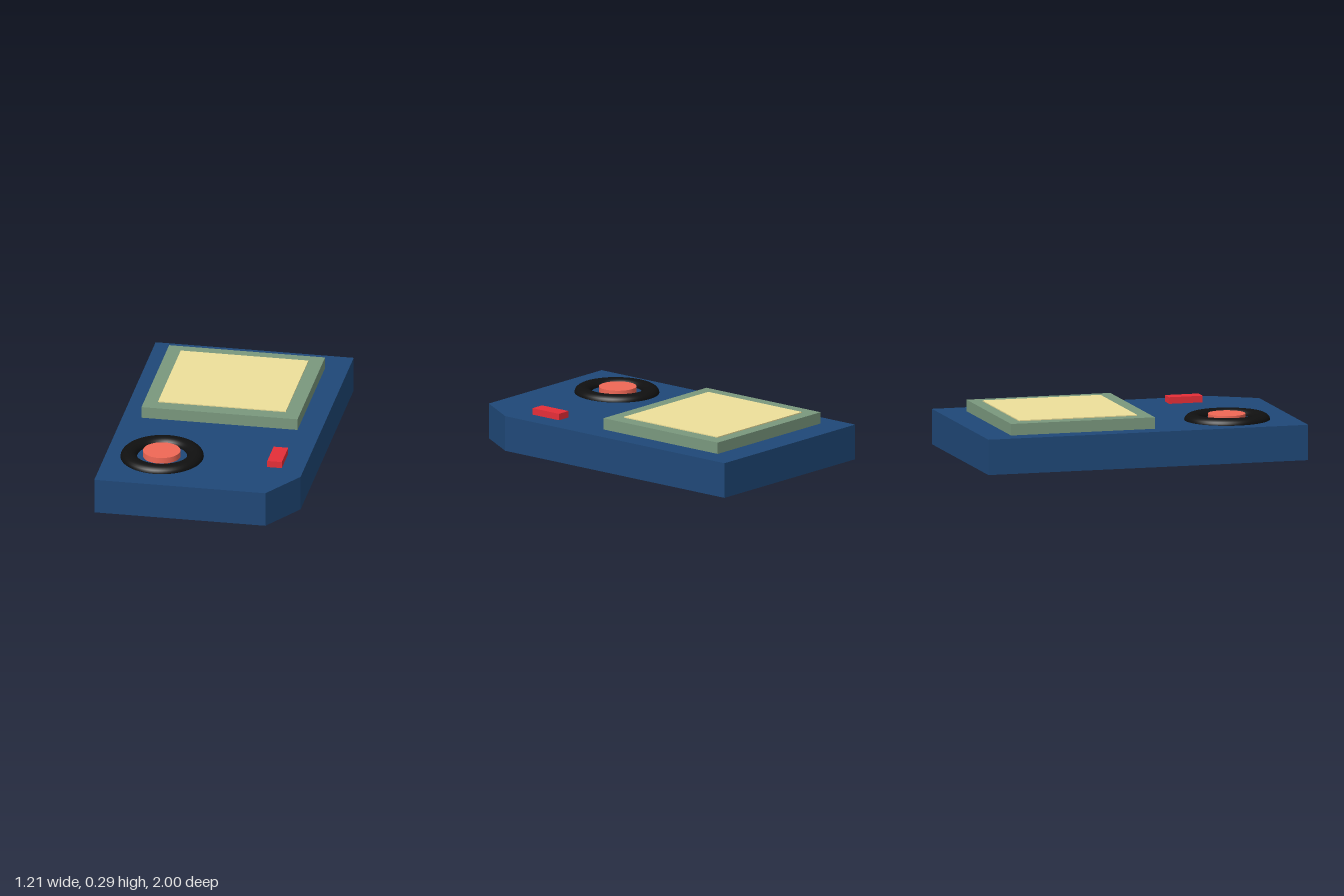
import * as THREE from 'three';

const DECK = 0.215; // top surface of the body

function part(name, geometry, color, x = 0, y = 0, z = 0) {
  const mesh = new THREE.Mesh(geometry, new THREE.MeshStandardMaterial({ color }));
  mesh.name = name;
  mesh.position.set(x, y, z);
  return mesh;
}

// Box given by its x, y and z ranges
function block(name, color, [x0, x1], [y0, y1], [z0, z1]) {
  return part(name, new THREE.BoxGeometry(x1 - x0, y1 - y0, z1 - z0), color,
    (x0 + x1) / 2, (y0 + y1) / 2, (z0 + z1) / 2);
}

export function createModel() {
  const model = new THREE.Group();
  model.name = 'handheldConsole';

  // Slab body with one cut front corner (outline in x, -z)
  const outline = new THREE.Shape([
    [-0.605, -1], [0.44, -1], [0.605, -0.73], [0.605, 1], [-0.605, 1],
  ].map(([x, y]) => new THREE.Vector2(x, y)));
  const body = new THREE.ExtrudeGeometry(outline, { depth: DECK, bevelEnabled: false });
  body.rotateX(-Math.PI / 2);
  model.add(part('body', body, 0x1f4878));

  // Raised screen frame and the thin screen on it
  model.add(block('screenFrame', 0x7a987e, [-0.49, 0.463], [DECK, 0.285], [-0.825, 0.075]));
  model.add(block('screen', 0xeee09a, [-0.405, 0.375], [0.28, 0.291], [-0.75, -0.012]));

  // Round pad: slightly oval ring, half sunk into the body, around a button
  const ring = new THREE.TorusGeometry(0.2, 0.05, 24, 64);
  ring.rotateX(Math.PI / 2);
  ring.scale(1, 0.76, 1.035);
  model.add(part('padRing', ring, 0x101010, -0.267, DECK, 0.592));

  const button = new THREE.CylinderGeometry(0.113, 0.113, 0.06, 48);
  model.add(part('padButton', button, 0xf06856, -0.27, 0.222, 0.588));

  // Small side button
  model.add(block('sideButton', 0xe62e38, [0.382, 0.471], [DECK - 0.005, 0.255], [0.42, 0.629]));

  return model;
}
